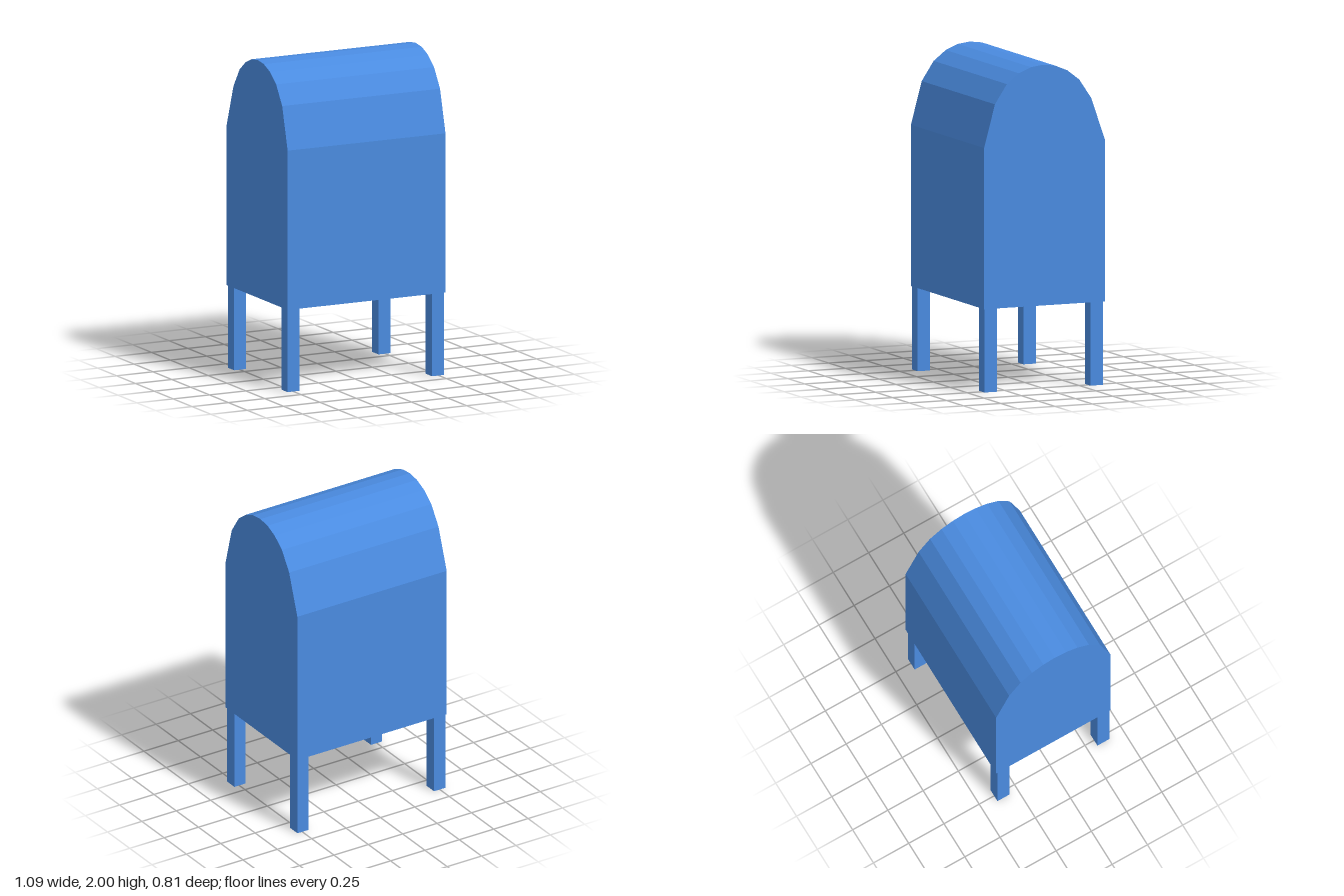
import * as THREE from 'three';

export function createModel() {
  const group = new THREE.Group();
  group.name = 'mailbox';
  const blue = new THREE.MeshStandardMaterial({ color: 0x4a8be0, flatShading: true });

  const width = 1.086, bottom = 0.515;

  // Body: side profile as [z, y], with a faceted arched top, extruded across x
  const profile = [
    [0.405, bottom], [0.405, 1.51], [0.333, 1.775], [0.253, 1.895], [0.172, 1.957], [0.09, 1.99],
    [0.01, 2], [-0.07, 1.99], [-0.151, 1.957], [-0.232, 1.895], [-0.313, 1.775],
    [-0.405, 1.51], [-0.405, bottom],
  ];
  const shape = new THREE.Shape(profile.map(([z, y]) => new THREE.Vector2(-z, y)));
  const bodyGeometry = new THREE.ExtrudeGeometry(shape, { depth: width, bevelEnabled: false });
  bodyGeometry.translate(0, 0, -width / 2).rotateY(Math.PI / 2);
  const body = new THREE.Mesh(bodyGeometry, blue);
  body.name = 'body';
  group.add(body);

  // Four square legs, set slightly in from the corners
  const legGeometry = new THREE.BoxGeometry(0.082, bottom, 0.084);
  for (const [xName, x] of [['Left', 0.494], ['Right', -0.499]]) {
    for (const [zName, z] of [['front', 0.357], ['back', -0.352]]) {
      const leg = new THREE.Mesh(legGeometry, blue);
      leg.name = `${zName}${xName}Leg`;
      leg.position.set(x, bottom / 2, z);
      group.add(leg);
    }
  }
  return group;
}
